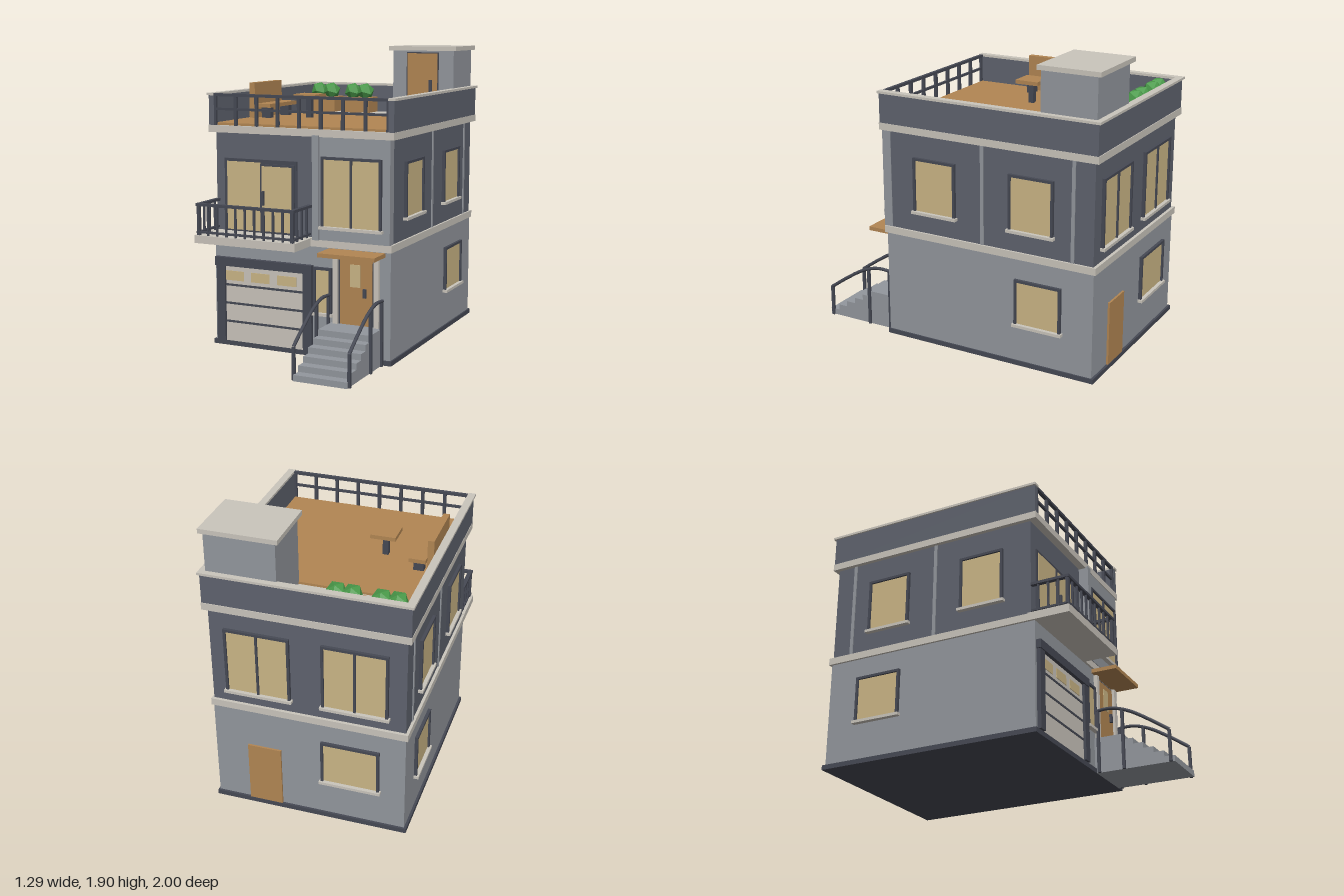
import * as THREE from 'three';

const mat = (name, color) => Object.assign(new THREE.MeshStandardMaterial({ color }), { name });
const M = {
  dark: mat('slate wall', 0x5f636e),
  wall: mat('grey wall', 0x93979d),
  trim: mat('pale stone', 0xcac5bc),
  frame: mat('charcoal frame', 0x464954),
  glass: mat('warm glass', 0xcbb686),
  wood: mat('wood', 0xb28653),
  leaf: mat('foliage', 0x4a9a4a),
};
M.leaf.flatShading = true;

// Box given by its min and max on each axis
function box(parent, name, m, x0, x1, y0, y1, z0, z1) {
  const mesh = new THREE.Mesh(new THREE.BoxGeometry(x1 - x0, y1 - y0, z1 - z0), m);
  mesh.position.set((x0 + x1) / 2, (y0 + y1) / 2, (z0 + z1) / 2);
  mesh.name = name;
  parent.add(mesh);
  return mesh;
}

function group(parent, name) {
  const g = new THREE.Group();
  g.name = name;
  parent.add(g);
  return g;
}

// Framed window facing +z, centred on its own x, standing on a wall at z = 0
function windowUnit(parent, w, y0, y1, mullion = false, sill = true) {
  const g = group(parent, 'window');
  const h = w / 2, t = 0.016;
  box(g, 'windowGlass', M.glass, -h + t, h - t, y0, y1 - t, 0, 0.008);
  for (const s of [-1, 1]) {
    const c = s * (h - t / 2);
    box(g, 'windowJamb', M.frame, c - t / 2, c + t / 2, y0, y1, 0, 0.02);
  }
  box(g, 'windowHead', M.frame, -h + t, h - t, y1 - t, y1, 0, 0.02);
  if (mullion) box(g, 'windowMullion', M.frame, -0.007, 0.007, y0, y1 - t, 0, 0.018);
  if (sill) box(g, 'windowSill', M.trim, -h - 0.01, h + 0.01, y0 - 0.008, y0 + 0.01, 0, 0.032);
  return g;
}

function place(g, x, z, ry = 0) {
  g.position.set(x, 0, z);
  g.rotation.y = ry;
}

function buildShell(root) {
  const g = group(root, 'shell');
  box(g, 'plinth', M.frame, -0.625, 0.62, 0, 0.03, -0.98, 0.49);
  box(g, 'groundFloor', M.wall, -0.61, 0.61, 0.03, 0.7, -0.965, 0.48);
  box(g, 'floorBand', M.trim, -0.625, 0.62, 0.7, 0.745, -0.98, 0.495);
  box(g, 'upperFloor', M.dark, -0.607, 0.607, 0.745, 1.38, -0.96, 0.455);
  box(g, 'frontBay', M.wall, 0.145, 0.61, 0.745, 1.385, 0.44, 0.5);
  box(g, 'bayPilaster', M.wall, 0.102, 0.145, 0.745, 1.39, 0.44, 0.52);
  box(g, 'roofSlab', M.trim, -0.635, 0.635, 1.38, 1.425, -0.99, 0.505);
  // Wall seams and windows on both sides
  for (const s of [-1, 1]) {
    for (const z of [-0.215, -0.825])
      box(g, 'wallSeam', M.wall, s * 0.609 - 0.004, s * 0.609 + 0.004, 0.745, 1.38, z - 0.011, z + 0.011);
    const ry = s * Math.PI / 2;
    place(windowUnit(g, 0.3, 0.875, 1.23), s * 0.607, 0.12, ry);
    place(windowUnit(g, 0.3, 0.875, 1.23), s * 0.607, -0.55, ry);
    place(windowUnit(g, 0.315, 0.27, 0.57), s * 0.61, -0.602, ry);
  }
  // Back windows and door
  for (const x of [-0.295, 0.31]) place(windowUnit(g, 0.41, 0.825, 1.26, true), x, -0.96, Math.PI);
  place(windowUnit(g, 0.37, 0.27, 0.57), -0.265, -0.965, Math.PI);
  box(g, 'backDoor', M.wood, 0.18, 0.395, 0.03, 0.44, -0.978, -0.96);
  // Front windows
  place(windowUnit(g, 0.4, 0.825, 1.262, true), 0.36, 0.5);
  place(windowUnit(g, 0.125, 0.275, 0.572), 0.16, 0.48);
}

function buildGarage(root) {
  const g = group(root, 'garage');
  box(g, 'garageDoor', M.trim, -0.53, 0.03, 0.03, 0.525, 0.47, 0.488);
  for (const y of [0.16, 0.28, 0.4]) box(g, 'panelGroove', M.frame, -0.53, 0.03, y - 0.007, y + 0.007, 0.485, 0.491);
  for (const x of [-0.465, -0.28, -0.09]) box(g, 'garagePane', M.glass, x - 0.067, x + 0.067, 0.43, 0.492, 0.485, 0.492);
  for (const x of [-0.56, 0.058]) box(g, 'garageJamb', M.frame, x - 0.03, x + 0.03, 0.03, 0.525, 0.47, 0.505);
  box(g, 'garageLintel', M.frame, -0.598, 0.092, 0.525, 0.58, 0.47, 0.512);
}

function buildEntry(root) {
  const g = group(root, 'entry');
  box(g, 'doorFrame', M.frame, 0.265, 0.51, 0.23, 0.66, 0.47, 0.487);
  box(g, 'frontDoor', M.wood, 0.28, 0.495, 0.232, 0.648, 0.475, 0.494);
  box(g, 'doorPane', M.glass, 0.35, 0.417, 0.47, 0.61, 0.49, 0.498);
  box(g, 'doorHandle', M.frame, 0.437, 0.458, 0.41, 0.465, 0.49, 0.51);
  for (const x of [0.25, 0.525]) box(g, 'doorPilaster', M.trim, x - 0.016, x + 0.016, 0.23, 0.665, 0.47, 0.505);
  box(g, 'canopy', M.wood, 0.2, 0.575, 0.67, 0.695, 0.47, 0.65);

  // Solid stairs cut from one stepped side profile
  const run = 0.066, rise = 0.0383, shape = new THREE.Shape();
  shape.moveTo(0.48, 0);
  shape.lineTo(1, 0);
  for (let i = 0; i < 6; i++) {
    shape.lineTo(1 - i * run, (i + 1) * rise);
    shape.lineTo(i === 5 ? 0.48 : 1 - (i + 1) * run, (i + 1) * rise);
  }
  const geo = new THREE.ExtrudeGeometry(shape, { depth: 0.345, bevelEnabled: false });
  geo.rotateY(-Math.PI / 2);
  const stairs = new THREE.Mesh(geo, M.wall);
  stairs.position.x = 0.56;
  stairs.name = 'stairs';
  g.add(stairs);

  // Curved handrails with posts
  const path = [[0.2, 0.982], [0.285, 0.86], [0.365, 0.73], [0.403, 0.63], [0.41, 0.57], [0.405, 0.5]];
  for (const x of [0.208, 0.565]) {
    const rail = group(g, 'stairRail');
    const curve = new THREE.CatmullRomCurve3(path.map(([y, z]) => new THREE.Vector3(x, y, z)));
    const tube = new THREE.Mesh(new THREE.TubeGeometry(curve, 24, 0.011, 8), M.frame);
    tube.name = 'handrail';
    rail.add(tube);
    for (const [y, z] of [[0.2, 0.977], [0.39, 0.675], [0.405, 0.51]])
      box(rail, 'railPost', M.frame, x - 0.009, x + 0.009, 0, y, z - 0.009, z + 0.009);
  }
}

function buildBalcony(root) {
  const g = group(root, 'balcony');
  box(g, 'balconySlab', M.trim, -0.625, 0.08, 0.7, 0.75, 0.44, 0.71);
  // Sliding door
  box(g, 'doorFrame', M.frame, -0.545, -0.03, 0.75, 1.215, 0.45, 0.463);
  box(g, 'fixedPane', M.glass, -0.525, -0.285, 0.76, 1.197, 0.46, 0.467);
  box(g, 'slidingSash', M.frame, -0.284, -0.045, 0.752, 1.19, 0.46, 0.474);
  box(g, 'slidingPane', M.glass, -0.27, -0.062, 0.765, 1.177, 0.47, 0.478);
  box(g, 'slidingHandle', M.frame, -0.265, -0.25, 0.93, 1.02, 0.47, 0.495);
  // Railing on three sides
  for (const [name, y0, y1, w] of [['topRail', 0.935, 0.952, 0.014], ['bottomRail', 0.763, 0.776, 0.009]]) {
    box(g, name, M.frame, -0.615, 0.07, y0, y1, 0.692 - w, 0.692 + w);
    for (const x of [-0.6, 0.055]) box(g, name, M.frame, x - w, x + w, y0, y1, 0.455, 0.692 - w);
  }
  const bar = (x, z, r) => box(g, 'baluster', M.frame, x - r, x + r, 0.75, 0.94, z - r, z + r);
  for (let i = 0; i <= 10; i++) bar(-0.6 + i * 0.0655, 0.692, i % 10 ? 0.006 : 0.01);
  for (const x of [-0.6, 0.055]) for (const z of [0.5, 0.565, 0.63]) bar(x, z, 0.006);
}

function buildRoof(root) {
  const g = group(root, 'roofTerrace');
  box(g, 'deck', M.wood, -0.595, 0.595, 1.425, 1.44, -0.61, 0.48);
  // Parapet with stone coping
  for (const s of [-1, 1]) {
    box(g, 'sideParapet', M.dark, s * 0.615 - 0.018, s * 0.615 + 0.018, 1.425, 1.612, -0.985, 0.5);
    box(g, 'sideCoping', M.trim, s * 0.62 - 0.024, s * 0.62 + 0.024, 1.612, 1.627, -0.998, 0.507);
  }
  box(g, 'backParapet', M.dark, -0.597, 0.597, 1.425, 1.612, -0.985, -0.957);
  box(g, 'backCoping', M.trim, -0.596, 0.596, 1.612, 1.627, -0.998, -0.95);
  // Front railing
  box(g, 'topRail', M.frame, -0.597, 0.597, 1.607, 1.625, 0.477, 0.5);
  box(g, 'midRail', M.frame, -0.597, 0.597, 1.52, 1.535, 0.481, 0.496);
  for (let i = -4; i <= 4; i++) {
    const x = i * 0.148;
    box(g, 'railPost', M.frame, x - 0.01, x + 0.01, 1.425, 1.61, 0.479, 0.498);
  }

  // Stair house
  const h = group(g, 'stairHouse');
  box(h, 'stairHouseWalls', M.wall, 0.17, 0.605, 1.425, 1.876, -0.96, -0.602);
  box(h, 'stairHouseRoof', M.trim, 0.145, 0.625, 1.876, 1.905, -0.985, -0.585);
  box(h, 'doorFrame', M.frame, 0.27, 0.5, 1.44, 1.865, -0.61, -0.598);
  box(h, 'roofDoor', M.wood, 0.278, 0.492, 1.44, 1.858, -0.605, -0.592);
  box(h, 'doorHandle', M.frame, 0.438, 0.458, 1.58, 1.68, -0.594, -0.577);

  // Bench and table
  const b = group(g, 'bench');
  box(b, 'benchBack', M.wood, -0.575, -0.535, 1.44, 1.672, -0.3, 0.08);
  box(b, 'benchSeat', M.wood, -0.525, -0.42, 1.51, 1.535, -0.3, 0.08);
  for (const z of [-0.24, 0.02]) box(b, 'benchLeg', M.frame, -0.505, -0.44, 1.44, 1.51, z - 0.022, z + 0.022);
  const t = group(g, 'table');
  box(t, 'tableTop', M.wood, -0.305, -0.145, 1.572, 1.597, -0.19, -0.03);
  box(t, 'tableLeg', M.frame, -0.243, -0.207, 1.44, 1.572, -0.128, -0.092);

  // Planters with faceted shrubs
  for (const x of [-0.47, -0.202]) {
    const p = group(g, 'planter');
    box(p, 'planterBox', M.wood, x - 0.107, x + 0.107, 1.425, 1.532, -0.945, -0.79);
    for (const s of [-1, 1]) {
      const shrub = new THREE.Mesh(new THREE.IcosahedronGeometry(0.064, 0), M.leaf);
      shrub.rotation.set(0.55, 0, 0);
      shrub.position.set(x + s * 0.048, 1.572, -0.867);
      shrub.name = 'shrub';
      p.add(shrub);
    }
  }
}

export function createModel() {
  const root = new THREE.Group();
  root.name = 'townhouse';
  for (const build of [buildShell, buildGarage, buildEntry, buildBalcony, buildRoof]) build(root);
  return root;
}
